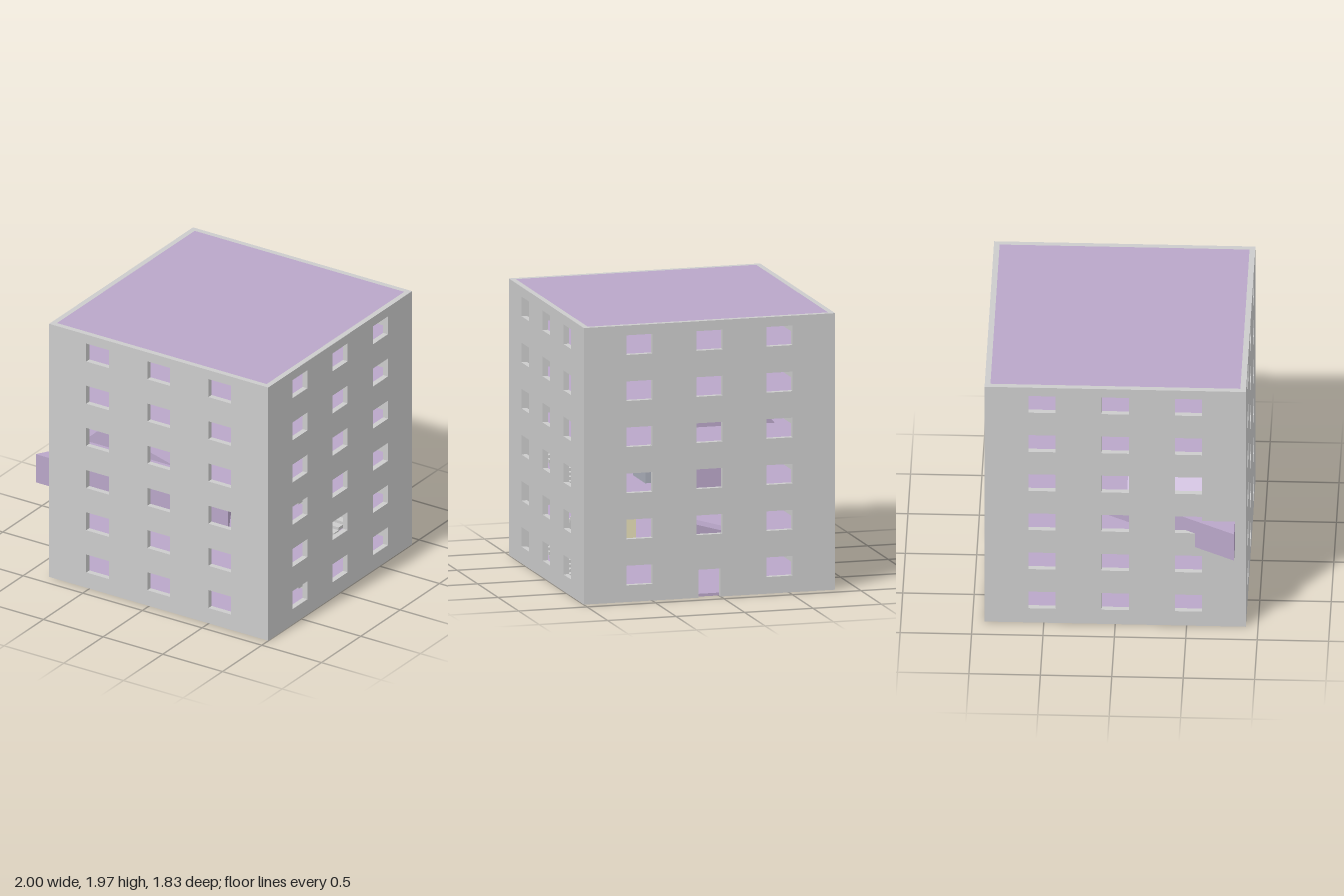
import * as THREE from 'three';

const STOREY = 0.329, FLOORS = 6, H = STOREY * FLOORS;
const X0 = -0.838, X1 = 0.998, HALF = 0.915, T = 0.04;
const CX = (X0 + X1) / 2, W = X1 - X0;
const WIN_W = 0.19, WIN_Y = 0.119, WIN_H = 0.14, SPACING = 0.512;

const mat = (color) => new THREE.MeshStandardMaterial({ color, flatShading: true });

export function createModel() {
  const model = new THREE.Group();
  const grey = mat(0xcccccc), purple = mat(0xb9a6c8), tan = mat(0xe6deb8), blueGrey = mat(0xa9adb8);

  const add = (parent, name, geo, material, x = 0, y = 0, z = 0) => {
    const m = new THREE.Mesh(geo, material);
    m.name = name;
    m.position.set(x, y, z);
    parent.add(m);
    return m;
  };
  const box = (parent, name, material, w, h, d, x, y, z) =>
    add(parent, name, new THREE.BoxGeometry(w, h, d), material, x, y, z);

  // Wall panel with a 3 x 6 grid of windows; the door is a notch in its bottom edge
  function wallGeometry(width, hasDoor) {
    const h = width / 2, s = new THREE.Shape();
    s.moveTo(-h, 0);
    if (hasDoor) {
      s.lineTo(-0.08, 0);
      s.lineTo(-0.08, 0.2);
      s.lineTo(0.08, 0.2);
      s.lineTo(0.08, 0);
    }
    s.lineTo(h, 0);
    s.lineTo(h, H);
    s.lineTo(-h, H);
    s.closePath();
    for (let f = 0; f < FLOORS; f++) {
      for (let c = -1; c <= 1; c++) {
        if (hasDoor && f === 0 && c === 0) continue;
        const x = c * SPACING - WIN_W / 2, y = f * STOREY + WIN_Y;
        const hole = new THREE.Path();
        hole.moveTo(x, y);
        hole.lineTo(x, y + WIN_H);
        hole.lineTo(x + WIN_W, y + WIN_H);
        hole.lineTo(x + WIN_W, y);
        hole.closePath();
        s.holes.push(hole);
      }
    }
    return new THREE.ExtrudeGeometry(s, { depth: T, bevelEnabled: false });
  }

  // Outer walls
  const walls = new THREE.Group();
  walls.name = 'outerWalls';
  model.add(walls);
  add(walls, 'frontWall', wallGeometry(W, false), grey, CX, 0, HALF - T);
  add(walls, 'backWall', wallGeometry(W, true), grey, CX, 0, -HALF);
  const sideGeo = wallGeometry(2 * (HALF - T), false);
  add(walls, 'leftWall', sideGeo, grey, X1 - T, 0, 0).rotation.y = Math.PI / 2;
  add(walls, 'rightWall', sideGeo, grey, X0, 0, 0).rotation.y = Math.PI / 2;

  // Floor slabs and roof
  const slabs = new THREE.Group();
  slabs.name = 'floorSlabs';
  model.add(slabs);
  for (let f = 0; f <= FLOORS; f++) {
    const y = f === FLOORS ? H - 0.01 : f * STOREY + 0.01;
    box(slabs, f === FLOORS ? 'roof' : 'floorSlab', purple, W - 2 * T, 0.02, 2 * (HALF - T), CX, y, 0);
  }

  // Columns: one on the ground storey, five on the next
  const columns = new THREE.Group();
  columns.name = 'columns';
  model.add(columns);
  const column = (x, z, f) =>
    box(columns, 'column', tan, 0.07, STOREY - 0.02, 0.07, x, f * STOREY + 0.01 + STOREY / 2, z);
  column(CX, 0.025, 0);
  column(CX, 0, 1);
  for (const sx of [-1, 1]) for (const sz of [-1, 1]) column(CX + sx * 0.44, sz * 0.44, 1);

  // Open stair flights on the lower three storeys, alternating direction
  const stairs = new THREE.Group();
  stairs.name = 'stairs';
  model.add(stairs);
  const STEPS = 14;
  for (let f = 0; f < 3; f++) {
    const dir = f % 2 ? -1 : 1;
    for (let i = 0; i < STEPS; i++) {
      box(stairs, 'step', grey, 0.16, 0.025, 0.06, 0.83,
        f * STOREY + 0.03 + (i / STEPS) * (STOREY - 0.03), dir * (-0.02 + i * 0.055));
    }
  }

  // Three-sided block whose corner pokes through the right wall
  const side = 1.61, r = side / Math.sqrt(3);
  const tri = new THREE.Shape();
  tri.moveTo(-side / 2, -r / 2);
  tri.lineTo(side / 2, -r / 2);
  tri.lineTo(0, r);
  tri.closePath();
  const triGeo = new THREE.ExtrudeGeometry(tri, { depth: 0.22, bevelEnabled: false });
  triGeo.rotateX(-Math.PI / 2);
  add(model, 'triangularBlock', triGeo, purple, -1 + side / 2, 0.662, 0.838 - r / 2);

  // Partitions on the same storey
  box(model, 'bluePartition', blueGrey, 0.04, STOREY - 0.02, 0.3, 0.3, 2.5 * STOREY + 0.01, 0);
  box(model, 'rearPartition', purple, 0.4, STOREY - 0.02, 0.06, 0.05, 2.5 * STOREY + 0.01, -0.62);

  // Sloped blocks standing on a slab
  const ramp = (name, profile, depth, z) => add(model, name,
    new THREE.ExtrudeGeometry(new THREE.Shape(profile.map(([x, y]) => new THREE.Vector2(x, y))),
      { depth, bevelEnabled: false }), purple, 0, 0, z);
  ramp('lowerRamp', [[-0.38, 0.345], [0.4, 0.345], [0.24, 0.52]], 0.27, -0.75);
  ramp('upperRamp', [[-0.7, 1.005], [0.08, 1.005], [-0.53, 1.16]], 0.6, 0.08);

  return model;
}
